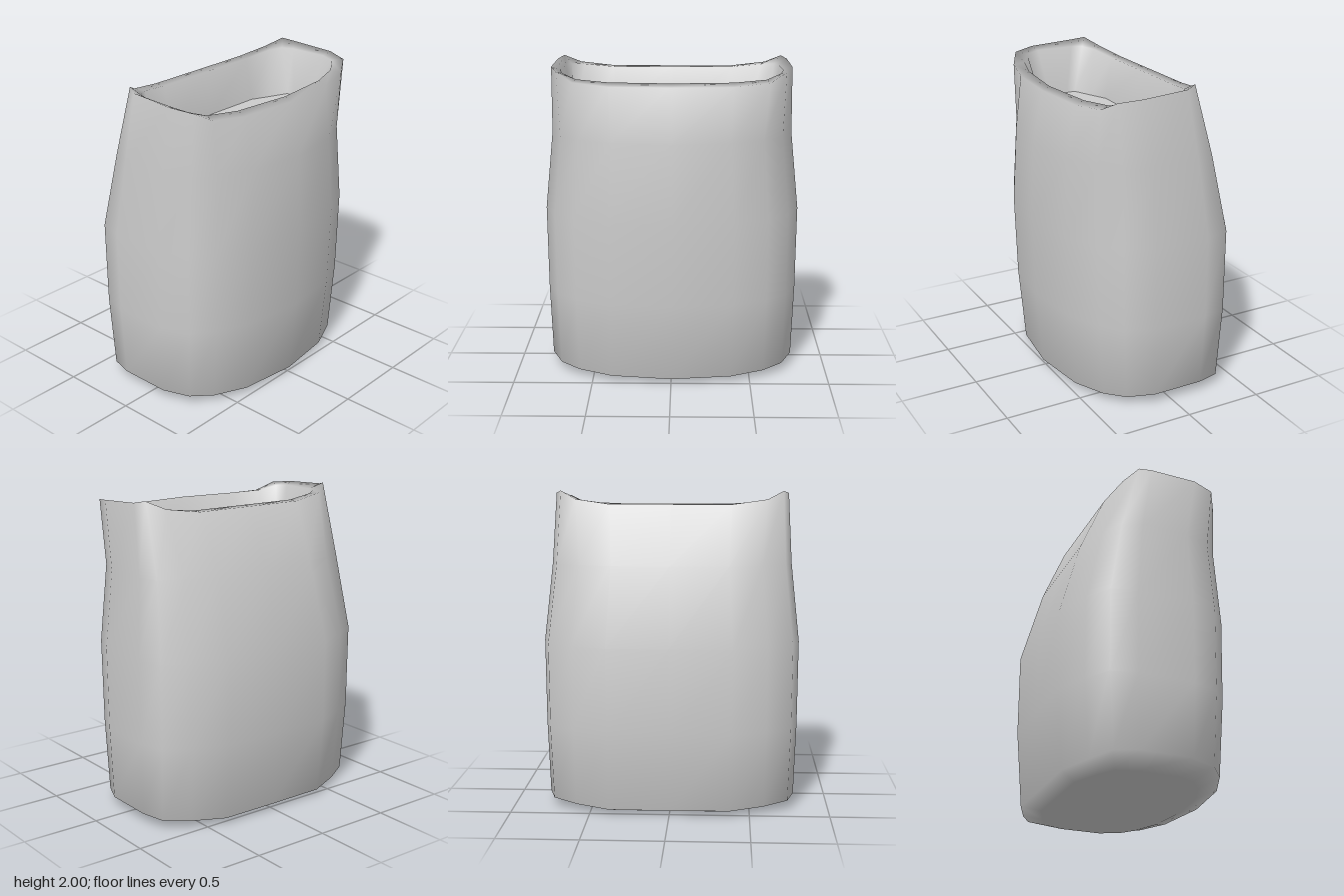
import * as THREE from 'three';

// Half cross-section of the sack, from front centre round to back centre.
// x is a share of the half width, z a share of the front or back depth.
const HALF = [[0, 1], [0.48, 0.91], [0.75, 0.74], [0.91, 0.55], [1, 0.235],
  [1, -0.4], [0.945, -0.68], [0.75, -0.84], [0.48, -1], [0, -1]];

// Mirror a half ring of [x, y, z] points into a closed loop.
function mirrorRing(half) {
  const other = half.slice(1, -1).reverse().map(([x, y, z]) => [-x, y, z]);
  return [...half, ...other];
}

// A ring of the body: half width, front depth, back depth and height.
function bodyRing(y, width, front, back, lift = () => 0) {
  return mirrorRing(HALF.map(([x, z]) =>
    [x * width, y + lift(x), z * (z > 0 ? front : back)]));
}

// Skin a stack of rings; optionally close the first one with a fan below.
function skin(rings, closeBottom) {
  const n = rings[0].length;
  const points = rings.flat();
  const index = [];
  for (let r = 0; r < rings.length - 1; r++) {
    for (let i = 0; i < n; i++) {
      const a = r * n + i, b = r * n + (i + 1) % n;
      index.push(a, b, b + n, a, b + n, a + n);
    }
  }
  if (closeBottom) {
    const c = points.length;
    points.push([0, rings[0][0][1], 0]);
    for (let i = 0; i < n; i++) index.push(c, (i + 1) % n, i);
  }
  return toGeometry(points, index);
}

function toGeometry(points, index) {
  const g = new THREE.BufferGeometry();
  g.setAttribute('position', new THREE.Float32BufferAttribute(points.flat(), 3));
  g.setIndex(index);
  g.computeVertexNormals();
  return g;
}

export function createModel() {
  const group = new THREE.Group();
  group.name = 'openSack';
  const material = new THREE.MeshStandardMaterial({ color: 0xcccccc, side: THREE.DoubleSide });

  // Uneven mouth: outer edge, rolled ridge and the foot of the inner wall
  const outerRim = mirrorRing([[0, 1.88, 0.48], [0.38, 1.88, 0.45], [0.6, 1.9, 0.4],
    [0.7, 1.955, 0.34], [0.745, 1.97, 0.2], [0.735, 1.985, -0.1], [0.7, 2, -0.17],
    [0.6, 1.95, -0.24], [0.38, 1.92, -0.28], [0, 1.92, -0.28]]);
  const ridge = mirrorRing([[0, 1.9, 0.43], [0.38, 1.9, 0.39], [0.58, 1.91, 0.33],
    [0.67, 1.94, 0.27], [0.69, 1.95, 0.18], [0.68, 1.95, -0.06], [0.65, 1.95, -0.13],
    [0.57, 1.94, -0.18], [0.38, 1.92, -0.21], [0, 1.92, -0.21]]);
  const inner = mirrorRing([[0, 0.34], [0.38, 0.285], [0.5, 0.25], [0.63, 0.22], [0.63, 0.13],
    [0.63, 0], [0.63, -0.06], [0.5, -0.11], [0.38, -0.16], [0, -0.16]]
    .map(([x, z]) => [x, 1.65, z]));

  // Sack body, from the flat base up the bulging walls and over the mouth
  const body = new THREE.Mesh(skin([
    bodyRing(0, 0.62, 0.4, 0.42),
    bodyRing(0.035, 0.785, 0.515, 0.53, x => 0.03 * x ** 4),
    bodyRing(0.53, 0.8, 0.56, 0.57),
    bodyRing(1.06, 0.805, 0.575, 0.57),
    bodyRing(1.55, 0.755, 0.55, 0.435),
    outerRim, ridge, inner,
  ], true), material);
  body.name = 'sackBody';
  group.add(body);

  // Flat filling just below the mouth
  const n = inner.length;
  const fan = inner.flatMap((_, i) => [n, i, (i + 1) % n]);
  const filling = new THREE.Mesh(toGeometry([...inner, [0, 1.65, 0.06]], fan), material);
  filling.name = 'filling';
  group.add(filling);

  return group;
}
